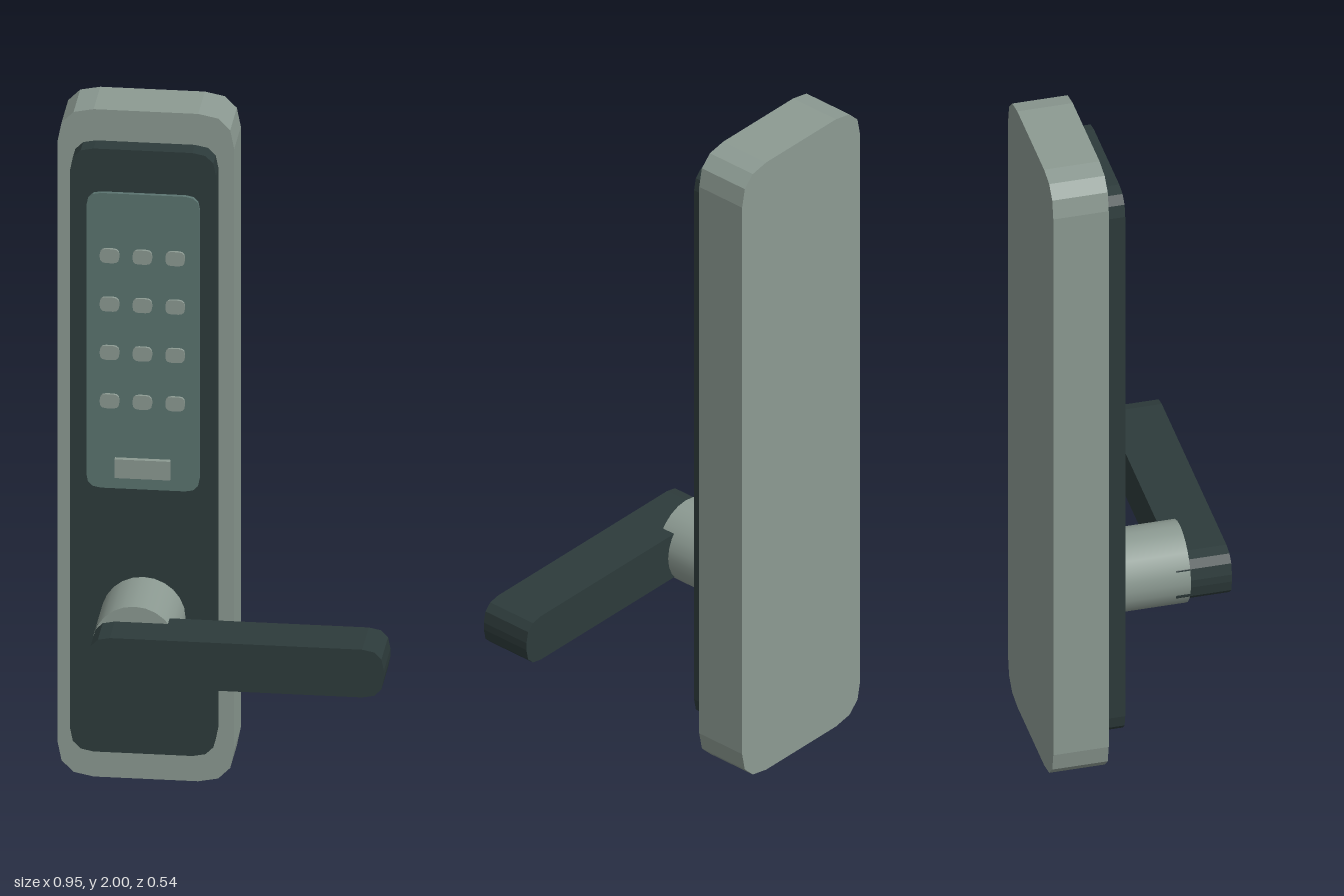
import * as THREE from 'three';

// Slab with rounded corners in the xy plane, spanning z0..z1
function slab(x0, x1, y0, y1, z0, z1, r, segments = 3) {
  const s = new THREE.Shape();
  s.moveTo(x0 + r, y0);
  s.lineTo(x1 - r, y0);
  s.quadraticCurveTo(x1, y0, x1, y0 + r);
  s.lineTo(x1, y1 - r);
  s.quadraticCurveTo(x1, y1, x1 - r, y1);
  s.lineTo(x0 + r, y1);
  s.quadraticCurveTo(x0, y1, x0, y1 - r);
  s.lineTo(x0, y0 + r);
  s.quadraticCurveTo(x0, y0, x0 + r, y0);
  const geo = new THREE.ExtrudeGeometry(s, {
    depth: z1 - z0, bevelEnabled: false, curveSegments: segments,
  });
  return geo.translate(0, 0, z0);
}

function material(name, color) {
  const m = new THREE.MeshStandardMaterial({ color });
  m.name = name;
  return m;
}

export function createModel() {
  const metal = material('grey green metal', 0x8c9a92);
  const dark = material('dark slate', 0x2d3b3b);
  const teal = material('teal panel', 0x5b7470);

  const model = new THREE.Group();
  model.name = 'doorLock';
  const add = (name, geo, mat, parent = model) => {
    const mesh = new THREE.Mesh(geo, mat);
    mesh.name = name;
    parent.add(mesh);
    return mesh;
  };

  // Stacked body plates
  add('backPlate', slab(-0.475, 0.015, 0, 2, -0.273, -0.115, 0.1), metal);
  add('frontPlate', slab(-0.433, -0.029, 0.1, 1.907, -0.115, -0.057, 0.065), dark);
  add('keypadPanel', slab(-0.387, -0.073, 0.897, 1.78, -0.057, -0.045, 0.04), teal);

  // Keypad: four rows of three keys
  const keypad = new THREE.Group();
  keypad.name = 'keypad';
  model.add(keypad);
  for (let row = 0; row < 4; row++) {
    for (let col = 0; col < 3; col++) {
      const x = -0.322 + col * 0.091;
      const y = 1.595 - row * 0.145;
      add(`key${row * 3 + col + 1}`,
        slab(x - 0.027, x + 0.027, y - 0.021, y + 0.021, -0.045, -0.037, 0.017), metal, keypad);
    }
  }

  // Wide bar below the keys
  const bar = new THREE.BoxGeometry(0.154, 0.056, 0.015);
  add('keypadBar', bar.translate(-0.23, 0.962, -0.0375), metal);

  // Handle spindle and lever
  const hub = new THREE.CylinderGeometry(0.117, 0.117, 0.21, 24);
  add('handleHub', hub.rotateX(Math.PI / 2).translate(-0.23, 0.513, 0.048), metal);
  add('handleLever', slab(-0.345, 0.475, 0.44, 0.583, 0.113, 0.27, 0.06), dark);

  return model;
}
